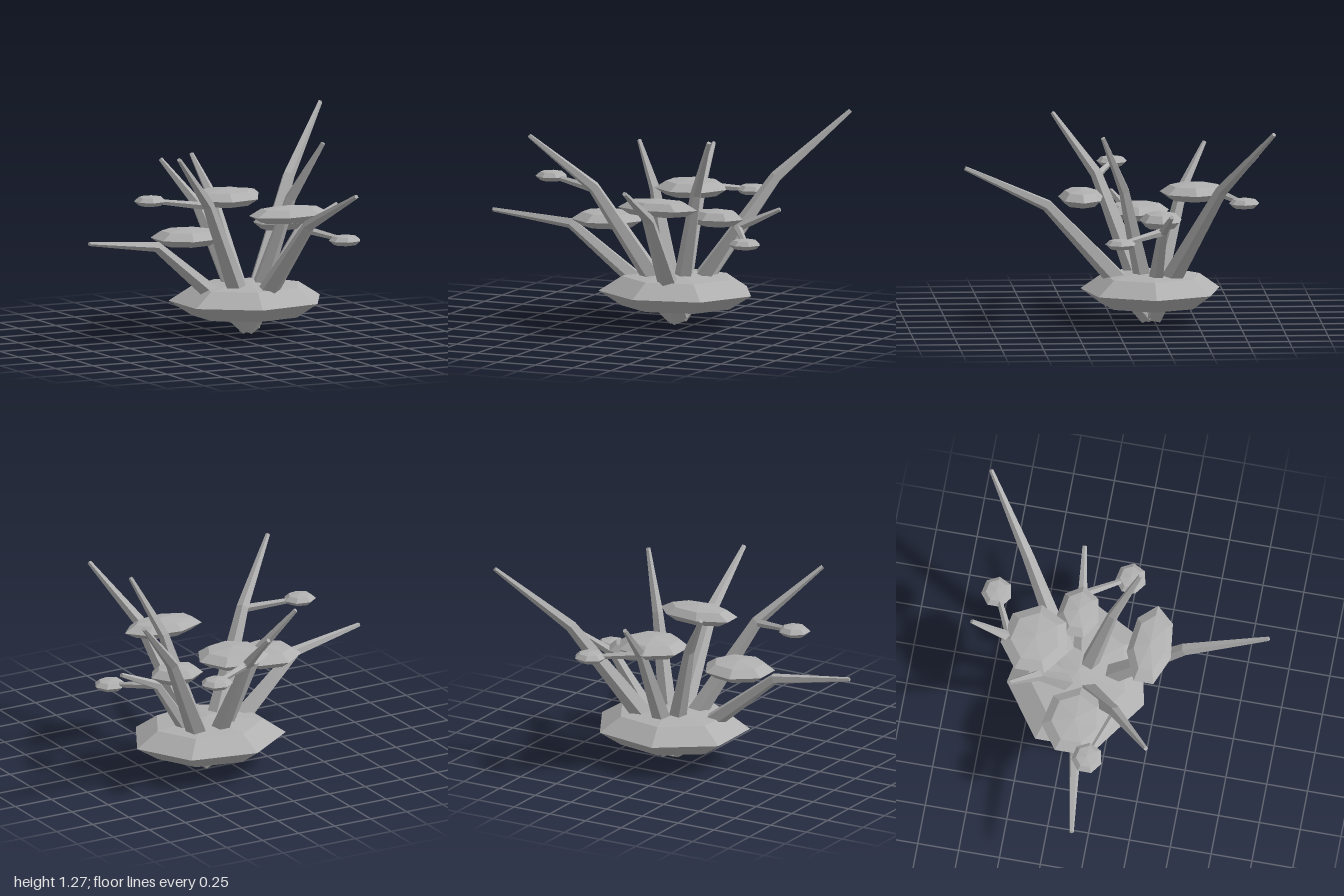
import * as THREE from 'three';

export function createModel() {
  const model = new THREE.Group();
  const stone = new THREE.MeshStandardMaterial({ color: 0xb0b0b0, flatShading: true });
  stone.name = 'paleGrey';

  function add(name, geometry) {
    const mesh = new THREE.Mesh(geometry, stone);
    mesh.name = name;
    model.add(mesh);
  }

  // Flattened seven-sided lens filling the given x and z extents
  function disc(name, x0, x1, z0, z1, y, h) {
    const g = new THREE.SphereGeometry(1, 7, 4);
    g.rotateY(Math.PI);
    const back = Math.cos(Math.PI / 7), side = Math.sin(4 * Math.PI / 7);
    const rx = (x1 - x0) / (1 + back), rz = (z1 - z0) / (2 * side);
    g.scale(rx, h, rz);
    g.translate(x1 - rx, y, (z0 + z1) / 2);
    add(name, g);
  }

  // Tapered five-sided limb through a list of points, with one radius per point
  function limb(name, points, radii) {
    const p = points.map((a) => new THREE.Vector3(...a));
    const last = p.length - 1;
    const up = new THREE.Vector3(0, 1, 0);
    const turns = p.map((v, i) => {
      const t = new THREE.Vector3();
      if (i > 0) t.add(v.clone().sub(p[i - 1]).normalize());
      if (i < last) t.add(p[i + 1].clone().sub(v).normalize());
      return new THREE.Quaternion().setFromUnitVectors(up, t.normalize());
    });
    const g = new THREE.CylinderGeometry(1, 1, 1, 5, last);
    const pos = g.attributes.position;
    const v = new THREE.Vector3();
    for (let i = 0; i < pos.count; i++) {
      const ring = Math.round((pos.getY(i) + 0.5) * last);
      v.set(pos.getX(i), 0, pos.getZ(i)).multiplyScalar(radii[ring]);
      v.applyQuaternion(turns[ring]).add(p[ring]);
      pos.setXYZ(i, v.x, v.y, v.z);
    }
    g.computeVertexNormals();
    add(name, g);
  }

  // Base
  disc('base', -0.285, 0.64, -0.645, 0.195, 0.2, 0.127);

  // Bent branches: joint, tip, thickness
  const root = [0.155, 0.05, -0.225];
  const branches = [
    ['backLeftBranch', [0.625, 0.87, -0.62], [0.985, 1.255, -0.91], 1],
    ['frontRightBranch', [-0.265, 0.85, 0.075], [-0.58, 1.18, 0.32], 1],
    ['rightBranch', [-0.51, 0.585, -0.13], [-0.995, 0.645, -0.06], 0.9],
    ['frontBranch', [0.25, 0.735, 0.41], [0.32, 0.975, 0.91], 1],
    ['frontLeftBranch', [0.355, 0.83, -0.05], [0.505, 1.175, 0.09], 0.9],
    ['backRightBranch', [-0.09, 0.78, -0.43], [-0.26, 1.04, -0.575], 0.9],
    ['backBranch', [0.12, 0.78, -0.64], [0.098, 1.005, -0.87], 0.9],
    ['leftBranch', [0.53, 0.605, -0.27], [0.795, 0.73, -0.305], 0.8],
  ];
  for (const [name, joint, tip, k] of branches) {
    limb(name, [root, joint, tip], [0.075 * k, 0.038 * k, 0.014]);
  }

  // Large plates
  disc('backPlate', -0.075, 0.355, -0.69, -0.28, 0.79, 0.06);
  disc('frontPlate', -0.02, 0.48, 0.068, 0.338, 0.775, 0.058);
  disc('rightPlate', -0.485, -0.06, -0.365, 0.03, 0.62, 0.06);
  disc('leftPlate', 0.24, 0.565, -0.395, -0.14, 0.655, 0.058);

  // Small plates on stalks that grow from the branch joints
  const buds = [
    ['back', [0.12, 0.78, -0.64], [0.405, 0.755, -0.77]],
    ['left', [0.53, 0.605, -0.27], [0.705, 0.555, -0.003]],
    ['right', [-0.265, 0.84, 0.075], [-0.59, 0.88, -0.038]],
  ];
  for (const [side, from, to] of buds) {
    const [x, y, z] = to;
    limb(side + 'Stalk', [from, to], [0.026, 0.015]);
    disc(side + 'SmallPlate', x - 0.095, x + 0.095, z - 0.092, z + 0.092, y, 0.036);
  }

  return model;
}
